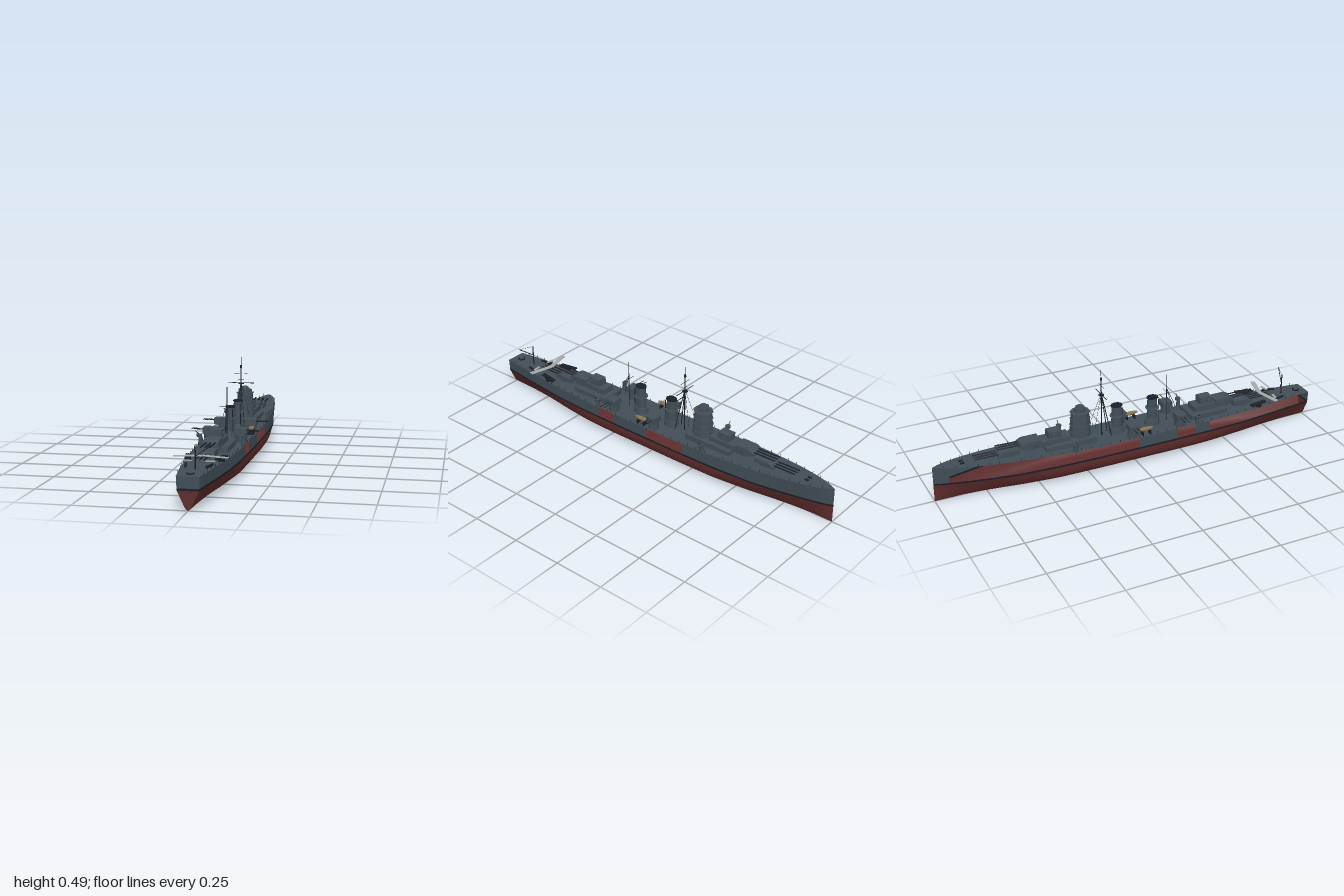
import * as THREE from 'three';

const mat = (name, color, side = THREE.FrontSide) => {
  const m = new THREE.MeshStandardMaterial({ color, side });
  m.name = name;
  return m;
};

export function createModel() {
  const ship = new THREE.Group();
  ship.name = 'warship';
  const grey = mat('slate grey', 0x414d56, THREE.DoubleSide);
  const red = mat('hull red', 0x5e2c2c, THREE.DoubleSide);
  const black = mat('near black', 0x1b2025, THREE.DoubleSide);
  const pale = mat('pale grey', 0xa4a8a8, THREE.DoubleSide);
  const tan = mat('boat tan', 0x8a7750);

  // ---- helpers
  const add = (name, geo, m, x = 0, y = 0, z = 0, parent = ship) => {
    const mesh = new THREE.Mesh(geo, m);
    mesh.name = name;
    mesh.position.set(x, y, z);
    parent.add(mesh);
    return mesh;
  };
  // box given by its bottom centre
  const box = (name, m, w, h, d, x, y, z, parent) =>
    add(name, new THREE.BoxGeometry(w, h, d), m, x, y + h / 2, z, parent);
  const cyl = (name, m, r1, r0, h, x, y, z, n = 16, parent = ship) =>
    add(name, new THREE.CylinderGeometry(r1, r0, h, n), m, x, y + h / 2, z, parent);
  const rod = (name, m, a, b, r, parent = ship) => {
    const p = new THREE.Vector3(...a), q = new THREE.Vector3(...b), d = q.clone().sub(p);
    const mesh = add(name, new THREE.CylinderGeometry(r, r, d.length(), 6), m, 0, 0, 0, parent);
    mesh.position.copy(p).add(q).multiplyScalar(0.5);
    mesh.quaternion.setFromUnitVectors(new THREE.Vector3(0, 1, 0), d.normalize());
    return mesh;
  };
  // surface lofted through sections along z
  const loft = (name, m, z0, z1, section, n = 40) => {
    const pos = [], idx = [];
    let k = 0;
    for (let i = 0; i <= n; i++) {
      const z = z0 + (z1 - z0) * i / n, s = section(z);
      k = s.length;
      s.forEach(([x, y]) => pos.push(x, y, z));
      for (let j = 0; i < n && j < k - 1; j++) {
        const a = i * k + j, b = a + k;
        idx.push(a, b, a + 1, b, b + 1, a + 1);
      }
    }
    const g = new THREE.BufferGeometry();
    g.setAttribute('position', new THREE.Float32BufferAttribute(pos, 3));
    g.setIndex(idx);
    g.computeVertexNormals();
    return add(name, g, m);
  };

  // ---- hull lines
  const plan = [[-1, 0], [-0.97, 0.018], [-0.92, 0.037], [-0.85, 0.055], [-0.75, 0.073], [-0.6, 0.09], [-0.4, 0.103],
    [-0.2, 0.108], [0.2, 0.108], [0.4, 0.105], [0.6, 0.095], [0.8, 0.075], [1, 0.05]];
  const beam = z => {
    let i = 0;
    while (i < plan.length - 2 && z > plan[i + 1][0]) i++;
    const [a, u] = plan[i], [b, v] = plan[i + 1];
    return u + (v - u) * (z - a) / (b - a);
  };
  const sm = THREE.MathUtils.smoothstep, mix = THREE.MathUtils.lerp;
  const deckY = z => 0.145 + 0.033 * Math.pow(Math.max(0, (-0.15 - z) / 0.85), 1.2);
  const water = z => beam(z) * (z < 0 ? mix(0.7, 1, sm(z, -1, -0.55)) : mix(0.94, 1, 1 - sm(z, 0.5, 1)));
  const full = [[0, 0.002], [0.68, 0.01], [0.86, 0.024], [0.97, 0.046], [1, 0.065], [1, 0.083]];
  const vee = [[0, 0], [0.2, 0.006], [0.38, 0.022], [0.6, 0.044], [0.8, 0.064], [1, 0.083]];
  const bottom = z => {
    const k = z < 0 ? sm(z, -1, -0.35) : 1 - sm(z, 0.3, 1);
    const half = full.map(([x, y], i) => [water(z) * mix(vee[i][0], x, k), mix(vee[i][1], y, k)]);
    return [...half.slice(1).reverse().map(([x, y]) => [-x, y]), ...half];
  };
  loft('lowerHull', red, -1, 1, bottom, 60);
  const wall = s => z => [[s * mix(water(z), beam(z), 0.15), 0.093], [s * beam(z), deckY(z)]];
  for (const s of [-1, 1])
    loft('waterlineBand', black, -1, 1, z => [[s * water(z), 0.083], [s * mix(water(z), beam(z), 0.15), 0.093]], 60);
  // side plating with openings
  [[1, -1, -0.22], [1, 0, 0.21], [1, 0.31, 1], [-1, -1, -0.93], [-1, 0, 0.21], [-1, 0.31, 0.39]]
    .forEach(([s, a, b]) => loft('sidePlating', grey, a, b, wall(s), 24));
  loft('deck', grey, -1, 1, z => [[-beam(z), deckY(z)], [beam(z), deckY(z)]], 60);

  // ---- flat stern
  const plate = (name, m, pts) =>
    add(name, new THREE.ShapeGeometry(new THREE.Shape(pts.map(p => new THREE.Vector2(...p)))), m, 0, 0, 1);
  plate('sternLower', red, bottom(1));
  plate('sternBand', black, [[-0.047, 0.083], [0.047, 0.083], [0.0475, 0.093], [-0.0475, 0.093]]);
  plate('sternUpper', grey, [[-0.0475, 0.093], [0.0475, 0.093], [0.05, 0.145], [-0.05, 0.145]]);

  // ---- deckhouses
  box('foreDeckhouse', grey, 0.12, 0.03, 0.26, 0, 0.145, -0.33);
  box('foreUpperDeckhouse', grey, 0.07, 0.03, 0.17, 0, 0.17, -0.41);
  box('aftDeckhouse', grey, 0.13, 0.025, 0.2, 0, 0.145, 0.41);
  box('aftUpperDeckhouse', grey, 0.07, 0.028, 0.16, 0, 0.17, 0.42);
  for (const [z, d] of [[-0.4, -1], [0.41, 1]]) {
    box('directorHouse', grey, 0.05, 0.037, 0.065, 0, 0.198, z);
    box('rangefinder', grey, 0.07, 0.01, 0.015, 0, 0.215, z + d * 0.012);
  }

  // ---- triple main turrets, dir -1 faces the bow
  const turret = (y, z, dir) => {
    const t = new THREE.Group();
    t.name = 'mainTurret';
    t.position.set(0, y, z);
    t.rotation.y = dir > 0 ? 0 : Math.PI;
    cyl('barbette', grey, 0.036, 0.036, 0.022, 0, -0.02, 0, 20, t);
    const s = new THREE.Shape([[-0.05, 0], [0.055, 0], [0.055, 0.012], [0.03, 0.024], [-0.05, 0.024]].map(p => new THREE.Vector2(...p)));
    const g = new THREE.ExtrudeGeometry(s, { depth: 0.07, bevelEnabled: false });
    g.translate(0, 0, -0.035).rotateY(-Math.PI / 2);
    add('gunhouse', g, grey, 0, 0, 0, t);
    for (const x of [-0.02, 0, 0.02]) rod('gunBarrel', black, [x, 0.013, 0.04], [x, 0.016, 0.165], 0.0035, t);
    ship.add(t);
  };
  turret(0.165, -0.635, -1);
  turret(0.19, -0.525, -1);
  turret(0.153, 0.615, 1);
  turret(0.185, 0.51, 1);

  // ---- bridge tower
  const tier = (r1, r0, y, h) => {
    const m = cyl('bridgeTier', grey, r1, r0, h, 0, y, -0.262, 8);
    m.geometry = new THREE.CylinderGeometry(r1, r0, h, 8).rotateY(Math.PI / 8).toNonIndexed();
    m.geometry.computeVertexNormals();
    m.scale.x = 0.88;
  };
  tier(0.05, 0.055, 0.15, 0.083);
  tier(0.047, 0.049, 0.235, 0.03);
  tier(0.044, 0.046, 0.268, 0.03);
  tier(0.026, 0.028, 0.298, 0.024);
  for (const [y, r] of [[0.2, 0.056], [0.233, 0.054], [0.265, 0.051], [0.298, 0.051]]) tier(r, r, y, 0.003);
  box('towerRangefinder', grey, 0.066, 0.01, 0.014, 0, 0.308, -0.262);
  cyl('towerCap', grey, 0.015, 0.018, 0.012, 0, 0.32, -0.262, 8);

  // ---- funnels
  for (const z of [-0.07, 0.122]) {
    cyl('funnel', grey, 0.02, 0.021, 0.145, 0, 0.145, z, 20).scale.z = 1.25;
    cyl('funnelRim', black, 0.023, 0.023, 0.006, 0, 0.286, z, 20).scale.z = 1.25;
    cyl('funnelMouth', black, 0.018, 0.018, 0.002, 0, 0.2905, z, 20).scale.z = 1.25;
    cyl('funnelBase', grey, 0.028, 0.032, 0.03, 0, 0.145, z, 20).scale.z = 1.25;
    for (const s of [-1, 1]) rod('steamPipe', black, [s * 0.018, 0.15, z + 0.025], [s * 0.016, 0.28, z + 0.025], 0.002);
    cyl('searchlightPlatform', grey, 0.034, 0.034, 0.004, 0, 0.232, z, 16);
  }

  // ---- masts with yards and stays
  rod('mainMast', black, [0, 0.145, -0.15], [0, 0.44, -0.15], 0.003);
  rod('mainTopmast', black, [0, 0.43, -0.15], [0, 0.493, -0.15], 0.0012);
  cyl('mastLookout', black, 0.005, 0.006, 0.012, 0, 0.44, -0.15, 8);
  [[0.365, 0.064, 0.0016], [0.382, 0.014, 0.001], [0.411, 0.032, 0.001]]
    .forEach(([y, w, r]) => rod('yard', black, [-w, y, -0.15], [w, y, -0.15], r));
  cyl('mastPlatform', black, 0.014, 0.014, 0.003, 0, 0.36, -0.15, 12);
  rod('aftMast', black, [0, 0.145, 0.2], [0, 0.395, 0.2], 0.0018);
  rod('aftYard', black, [-0.035, 0.3, 0.2], [0.035, 0.3, 0.2], 0.001);
  for (const s of [-1, 1]) {
    rod('mainMastLeg', black, [0, 0.37, -0.15], [s * 0.025, 0.145, -0.11], 0.0022);
    rod('mainMastStay', black, [0, 0.37, -0.15], [s * 0.03, 0.2, -0.2], 0.0008);
    rod('aftMastStay', black, [0, 0.32, 0.2], [s * 0.035, 0.17, 0.26], 0.001);
  }

  // ---- stern crane
  rod('cranePost', black, [0, 0.145, 0.865], [0, 0.25, 0.865], 0.003);
  rod('craneBoom', black, [0, 0.2, 0.865], [0.075, 0.255, 0.89], 0.002);
  rod('craneCable', black, [0, 0.25, 0.865], [0.075, 0.255, 0.89], 0.0007);

  // ---- parts mirrored on both sides
  for (const s of [-1, 1]) {
    for (const z of [-0.02, 0.235]) {
      cyl('sideGunBase', grey, 0.026, 0.026, 0.036, s * 0.075, 0.145, z, 14);
      box('sideGunhouse', grey, 0.055, 0.03, 0.05, s * 0.076, 0.18, z);
      for (const d of [-0.01, 0.01]) rod('sideGunBarrel', black, [s * 0.09, 0.198, z + d], [s * 0.161, 0.2, z + d], 0.0018);
    }
    for (const z of [-0.33, 0.32]) {
      cyl('lightGunPlatform', grey, 0.014, 0.012, 0.012, s * 0.107, 0.178, z, 12);
      cyl('lightGunSupport', grey, 0.01, 0.01, 0.035, s * 0.1, 0.145, z, 10);
      rod('lightGun', black, [s * 0.107, 0.19, z], [s * 0.125, 0.205, z], 0.002);
    }
    // ship's boat on cradles
    const boat = add('boat', new THREE.SphereGeometry(1, 14, 8, 0, Math.PI * 2, Math.PI / 2, Math.PI / 2), tan, s * 0.088, 0.178, 0.045);
    boat.scale.set(0.012, 0.014, 0.04);
    cyl('boatCover', tan, 1, 1, 0.002, s * 0.088, 0.177, 0.045, 14).scale.set(0.012, 1, 0.04);
    for (const z of [0.025, 0.065]) box('boatCradle', black, 0.03, 0.022, 0.003, s * 0.088, 0.145, z);
    // torpedo tubes
    for (const d of [-0.009, 0, 0.009])
      rod('torpedoTube', black, [s * 0.082 + d, 0.161, 0.64], [s * 0.066 + d, 0.161, 0.73], 0.0045);
    cyl('torpedoMount', black, 0.015, 0.015, 0.014, s * 0.074, 0.145, 0.685, 12);
    rod('deckRack', black, [s * 0.058, 0.152, 0.79], [s * 0.045, 0.152, 0.85], 0.006);
    // aircraft wing and tail halves
    box('aircraftWing', pale, 0.122, 0.003, 0.022, s * 0.06, 0.176, 0.75).rotation.y = -s * 0.25;
    box('aircraftTail', pale, 0.042, 0.003, 0.012, s * 0.05, 0.165, 0.792).rotation.y = s * 0.15;
    // deck edge posts
    for (let z = -0.95; z < 0.99; z += 0.05)
      box('railPost', black, 0.0015, 0.012, 0.0015, s * (beam(z) - 0.002), deckY(z), z);
    box('anchorWinch', black, 0.01, 0.008, 0.02, s * 0.012, 0.168, -0.86);
  }
  cyl('sternRing', black, 0.018, 0.018, 0.004, 0, 0.145, 0.955, 20);
  cyl('sternHatch', grey, 0.012, 0.012, 0.008, 0, 0.145, 0.955, 20);
  return ship;
}
